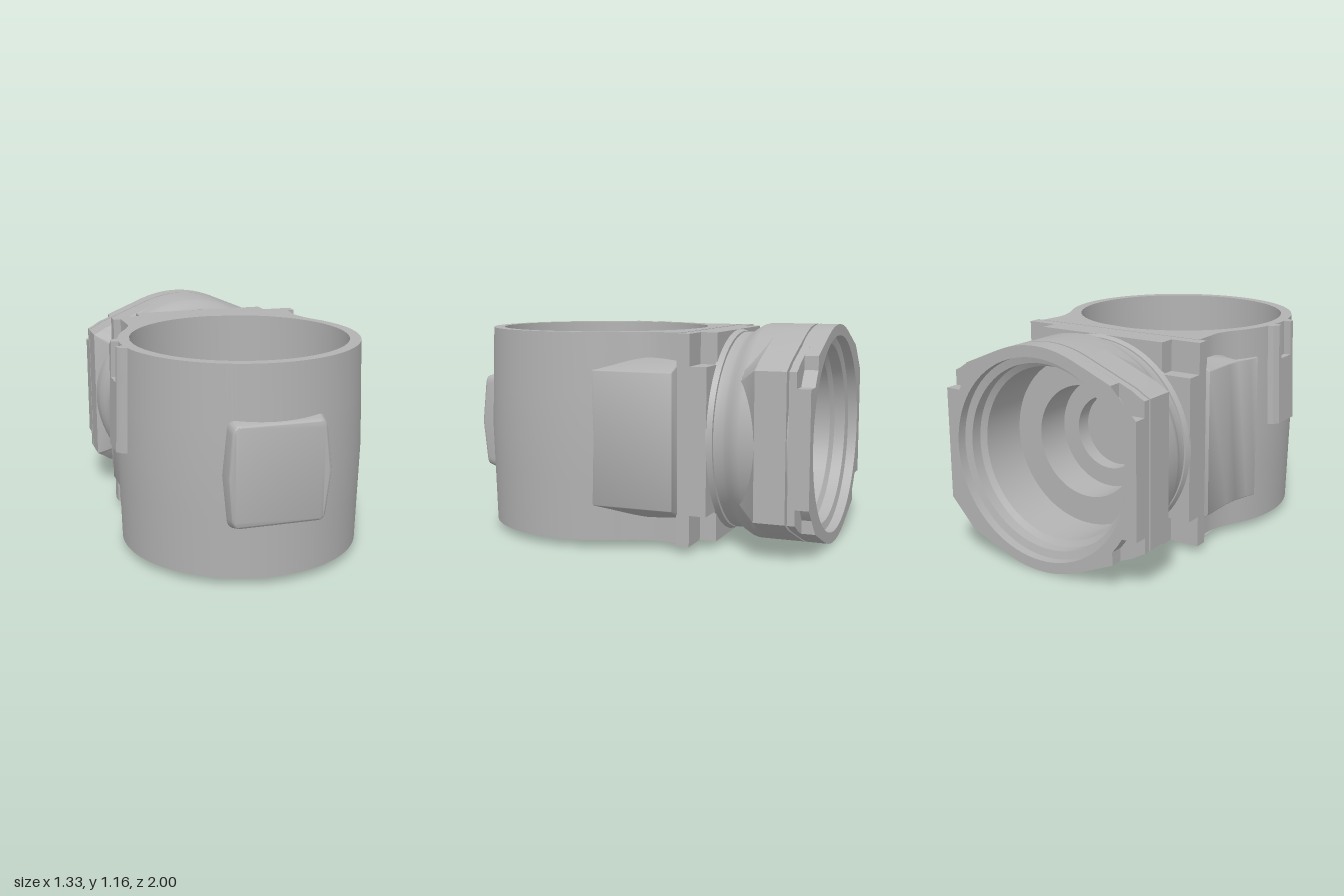
import * as THREE from 'three';
import { toCreasedNormals } from 'three/addons/utils/BufferGeometryUtils.js';

const metal = new THREE.MeshStandardMaterial({ color: 0xb2b2b2 });
metal.name = 'cast grey';

const CZ = 0.33; // z of the vertical cylinder axis
const R = 0.648; // cylinder radius at mid height
const BORE = 0.573;

const poly = (pts) => new THREE.Shape(pts.map(([x, y]) => new THREE.Vector2(x, y)));
const hole = (shape, x, y, r) => {
  const p = new THREE.Path();
  p.absarc(x, y, r, 0, Math.PI * 2, false);
  shape.holes.push(p);
  return shape;
};

// Move every vertex by a rule
function warp(geo, rule) {
  const p = geo.attributes.position, v = new THREE.Vector3();
  for (let i = 0; i < p.count; i++) {
    rule(v.fromBufferAttribute(p, i));
    p.setXYZ(i, v.x, v.y, v.z);
  }
  return geo;
}

// Casting draft: the outer wall narrows towards the top and bottom
const draft = (v) => {
  const dx = v.x, dz = v.z - CZ;
  if (Math.hypot(dx, dz) < 0.6 || v.z < -0.25) return;
  const f = 1 - 0.025 * Math.abs(v.y) / 0.545;
  v.x = dx * f;
  v.z = CZ + dz * f;
};

const extrude = (shape, depth, bevel = 0, steps = 1) => new THREE.ExtrudeGeometry(shape, {
  depth: depth - 2 * bevel, bevelEnabled: bevel > 0, bevelSize: bevel, bevelOffset: -bevel,
  bevelThickness: bevel, bevelSegments: 4, curveSegments: 64, steps,
}).translate(0, 0, bevel);

// Plan shapes are drawn in (x, -z) and raised from y0 to y1
const raise = (shape, y0, y1, bevel, steps) =>
  extrude(shape, y1 - y0, bevel, steps).rotateX(-Math.PI / 2).translate(0, y0, 0);
// Rear shapes are drawn in (x, y) and run from z0 to z1
const along = (shape, z0, z1, bevel) => extrude(shape, z1 - z0, bevel).translate(0, 0, z0);

// Plan of the cylinder flaring into the neck
function bodyPlan() {
  const s = new THREE.Shape();
  const a = Math.atan2(0.31, 0.565);
  s.moveTo(0.5, 0.31);
  s.lineTo(0.5, 0.2);
  s.quadraticCurveTo(0.5, 0.1, R * Math.cos(a), -CZ + R * Math.sin(a));
  s.absarc(0, -CZ, R, a, -Math.PI - a, true);
  s.quadraticCurveTo(-0.5, 0.1, -0.5, 0.2);
  s.lineTo(-0.5, 0.31);
  return s;
}

export function createModel() {
  const model = new THREE.Group();
  model.name = 'pipeElbowHousing';
  const body = new THREE.Group();
  body.name = 'housing';
  body.position.set(0.017, 0.58, 0);
  model.add(body);

  const add = (name, geo, crease = 0.5) => {
    const m = new THREE.Mesh(toCreasedNormals(geo, crease), metal);
    m.name = name;
    body.add(m);
  };

  // Vertical cylinder: a solid core with a blind bore above and below
  add('cylinderCore', warp(raise(bodyPlan(), -0.24, 0.24, 0, 2), draft));
  add('upperBore', warp(raise(hole(bodyPlan(), 0, -CZ, BORE), 0.24, 0.545), draft));
  add('lowerBore', warp(raise(hole(bodyPlan(), 0, -CZ, BORE), -0.54, -0.24), draft));
  add('lowerBoreFloor',
    new THREE.CylinderGeometry(BORE + 0.002, BORE + 0.002, 0.15, 96).translate(0, -0.315, CZ));

  // Raised front pad
  const pad = new THREE.Shape();
  pad.moveTo(-0.2, 0.26);
  pad.lineTo(0.2, 0.26);
  pad.quadraticCurveTo(0.237, 0.26, 0.241, 0.21);
  pad.lineTo(0.262, 0);
  pad.lineTo(0.241, -0.21);
  pad.quadraticCurveTo(0.237, -0.26, 0.2, -0.26);
  pad.lineTo(-0.2, -0.26);
  pad.quadraticCurveTo(-0.237, -0.26, -0.241, -0.21);
  pad.lineTo(-0.262, 0);
  pad.lineTo(-0.241, 0.21);
  pad.quadraticCurveTo(-0.237, 0.26, -0.2, 0.26);
  add('frontPad', warp(along(pad, 0.905, 1, 0.015), (v) => {
    if (v.z > 0.97) v.z -= 0.045 * Math.abs(v.y);
    else if (v.z < 0.93) { v.x *= 1.04; v.y *= 1.06; }
  }), 0.8);

  // Side pads beside the neck, their ends sloping into the wall
  const slopeEnds = (v) => {
    if (Math.abs(v.x) < 0.54 && Math.abs(v.y) > 0.3) v.y *= 1.18;
  };
  add('leftSidePad', warp(raise(poly([[0.45, 0.305], [0.618, 0.305], [0.618, -0.12],
    [0.585, -0.18], [0.535, -0.02], [0.48, 0.1]]), -0.355, 0.355, 0.012), slopeEnds), 0.8);
  add('rightSidePad', warp(raise(poly([[-0.45, 0.305], [-0.562, 0.305], [-0.562, 0.1],
    [-0.572, 0.02], [-0.595, -0.06], [-0.612, -0.12], [-0.59, -0.13], [-0.535, -0.02], [-0.48, 0.1]]),
    -0.39, 0.39, 0.006), slopeEnds), 0.8);

  // Side rib with a slot open at the top
  const ribFoot = [[-0.59, -0.16], [-0.63, -0.205], [-0.665, -0.22], [-0.685, -0.25]];
  const ribHead = [[-0.685, -0.42], [-0.665, -0.445], [-0.63, -0.46], [-0.6, -0.52], [-0.59, -0.5]];
  const slot = [[-0.685, -0.28], [-0.625, -0.28], [-0.625, -0.39], [-0.685, -0.39]];
  add('rib', warp(raise(poly([...ribFoot, ...ribHead]), 0, 0.36), draft));
  add('slottedRib', warp(raise(poly([...ribFoot, ...slot, ...ribHead]), 0.36, 0.545), draft));

  // Square neck flange, with cut corners for fasteners at the rear
  const w = 0.54, t = 0.543, nx = 0.375, ny = 0.38;
  add('neckFlange', along(hole(poly([[-w, -t], [w, -t], [w, t], [-w, t]]), 0, 0, 0.35), -0.37, -0.3));
  add('notchedFlange', along(hole(poly([
    [nx, -t], [nx, -ny], [w, -ny], [w, ny], [nx, ny], [nx, t],
    [-nx, t], [-nx, ny], [-w, ny], [-w, -ny], [-nx, -ny], [-nx, -t],
  ]), 0, 0, 0.35), -0.46, -0.37));

  // Round rear collar with its stepped bore
  const profile = [
    [0.52, -1], [0.578, -1], [0.578, -0.892], [0.565, -0.892], [0.565, -0.88], [0.578, -0.88],
    [0.578, -0.64], [0.572, -0.615], [0.555, -0.585], [0.538, -0.56], [0.53, -0.54], [0.53, -0.497],
    [0.515, -0.497], [0.515, -0.488], [0.533, -0.488], [0.545, -0.455], [0.4, -0.455], [0.4, -0.31],
    [0, -0.31], [0, -0.315], [0.2, -0.315], [0.2, -0.4], [0.3, -0.4], [0.3, -0.6], [0.45, -0.6],
    [0.45, -0.86], [0.48, -0.88], [0.48, -0.94], [0.52, -0.95], [0.52, -1],
  ].map(([r, z]) => new THREE.Vector2(r, z));
  add('collar', new THREE.LatheGeometry(profile, 96).rotateX(Math.PI / 2));

  // Flat lugs on both sides of the collar, running tangent into its curve
  const lug = (side, upper) => {
    const a = Math.atan2(0.49, 0.2);
    const inner = Array.from({ length: 25 }, (_, i) => {
      const b = a - (2 * a * i) / 24;
      return [0.53 * Math.cos(b), 0.53 * Math.sin(b)];
    });
    const lower = upper.map(([x, y]) => [x, -y]);
    return poly([...lower, ...upper.toReversed(), ...inner].map(([x, y]) => [side * x, y]));
  };
  const full = [[0.22, 0.535], [0.51, 0.415], [0.55, 0.39], [0.58, 0.375]];
  const notched = [[0.22, 0.535], [0.44, 0.443], [0.44, 0.295], [0.58, 0.295]];
  for (const [side, name] of [[1, 'left'], [-1, 'right']]) {
    add(name + 'LugEnd', along(lug(side, notched), -1, -0.93));
    add(name + 'LugRear', along(lug(side, full), -0.93, -0.892));
    add(name + 'Lug', along(lug(side, full), -0.88, -0.72));
    // Front of the lug slopes down into the collar
    add(name + 'LugSlope', warp(along(lug(side, full), -0.72, -0.6), (v) => {
      const r = Math.hypot(v.x, v.y);
      if (v.z > -0.65 && r > 0.55) { v.x *= 0.55 / r; v.y *= 0.55 / r; }
    }));
  }
  return model;
}
